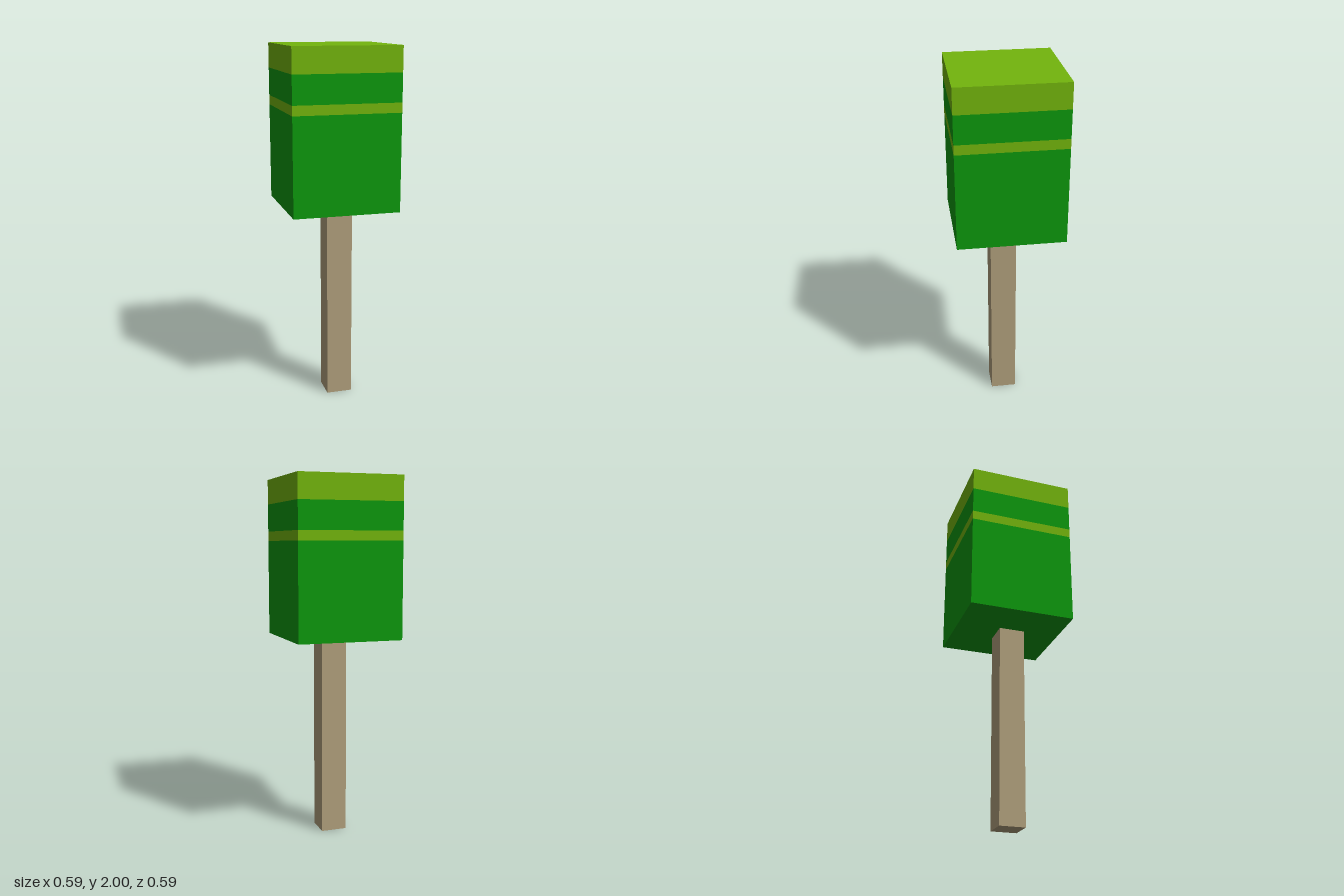
import * as THREE from 'three';

const flat = (name, color) => {
  const material = new THREE.MeshStandardMaterial({ color });
  material.name = name;
  return material;
};

// Box between two heights; top and bottom faces are kept only where exposed
function block(name, material, width, y0, y1, top, bottom) {
  const geometry = new THREE.BoxGeometry(width, y1 - y0, width);
  const index = Array.from(geometry.index.array);
  // Six indices per face, in the order +x, -x, +y, -y, +z, -z
  geometry.setIndex(index.filter((_, i) => {
    const face = Math.floor(i / 6);
    return (face !== 2 || top) && (face !== 3 || bottom);
  }));
  geometry.clearGroups();
  const mesh = new THREE.Mesh(geometry, material);
  mesh.name = name;
  mesh.position.y = (y0 + y1) / 2;
  return mesh;
}

export function createModel() {
  const leafGreen = flat('leaf green', 0x0d980d);
  const lime = flat('lime', 0x73b50d);
  const bark = flat('bark', 0xb09f7c);

  const tree = new THREE.Group();
  tree.name = 'tree';

  // Square trunk, slightly off the crown's centre
  const trunk = block('trunk', bark, 0.144, 0, 1.12, false, true);
  trunk.position.x = 0.014;
  trunk.position.z = 0.018;
  tree.add(trunk);

  // Cubic crown in stacked colour bands
  const crown = new THREE.Group();
  crown.name = 'crown';
  const width = 0.588;
  crown.add(
    block('lowerLeaves', leafGreen, width, 1.12, 1.655, false, true),
    block('limeStripe', lime, width, 1.655, 1.708, false, false),
    block('upperLeaves', leafGreen, width, 1.708, 1.862, false, false),
    block('limeCap', lime, width, 1.862, 2, true, false),
  );
  tree.add(crown);

  return tree;
}
